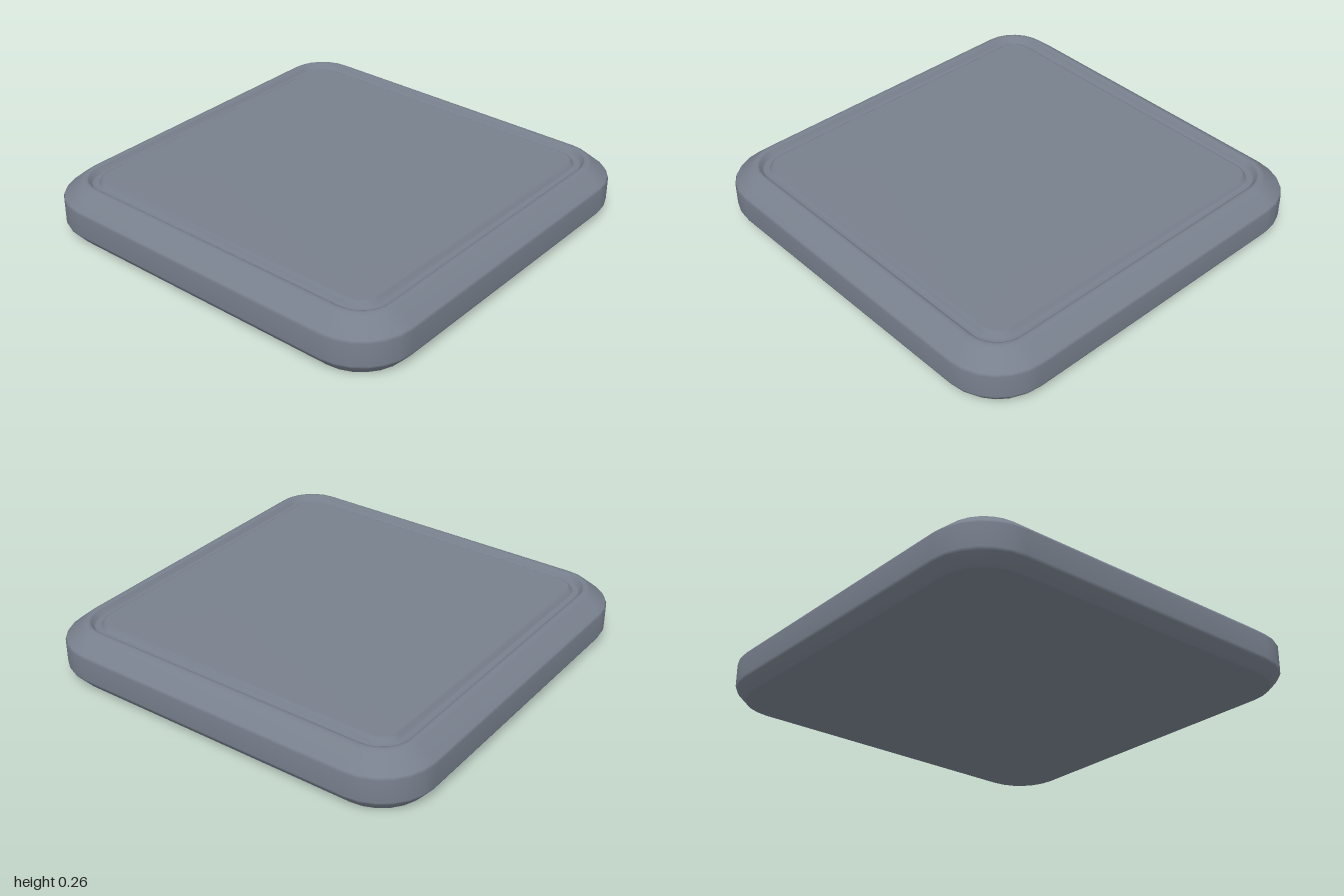
import * as THREE from 'three';

const CORE = 0.73;  // half-size of the square joining the corner arc centres
const STEPS = 6;    // segments per rounded corner

// Closed loop of a rounded square with the given half-width at height y
function ring(half, y) {
  const core = Math.min(CORE, half);
  const radius = half - core;
  const points = [];
  for (let corner = 0; corner < 4; corner++) {
    const mid = (corner + 0.5) * Math.PI / 2;
    const sx = Math.sign(Math.cos(mid)), sz = Math.sign(Math.sin(mid));
    for (let i = 0; i <= STEPS; i++) {
      const a = (corner + i / STEPS) * Math.PI / 2;
      points.push(sx * core + radius * Math.cos(a), y, sz * core + radius * Math.sin(a));
    }
  }
  return points;
}

// Skin the loops of a [half-width, y] profile running from bottom to top
function loftProfile(profile) {
  const n = 4 * (STEPS + 1);
  const positions = profile.flatMap(([half, y]) => ring(half, y));
  const index = [];
  for (let j = 0; j < profile.length - 1; j++) {
    for (let i = 0; i < n; i++) {
      const a = j * n + i, b = j * n + (i + 1) % n;
      index.push(a, a + n, b + n, a, b + n, b);
    }
  }
  const geometry = new THREE.BufferGeometry();
  geometry.setAttribute('position', new THREE.Float32BufferAttribute(positions, 3));
  geometry.setIndex(index);
  geometry.computeVertexNormals();
  return geometry;
}

export function createModel() {
  const group = new THREE.Group();
  group.name = 'tile';
  const material = new THREE.MeshStandardMaterial({ color: 0x78808d });

  const profile = [
    // flat underside and lower bevel
    [0, 0], [0.94, 0], [0.952, 0.005], [0.994, 0.053], [1, 0.067],
    // side wall and upper bevel
    [1, 0.178], [0.993, 0.19], [0.915, 0.255], [0.9, 0.262],
    // rim and groove
    [0.885, 0.262], [0.877, 0.258], [0.865, 0.238], [0.857, 0.234],
    [0.835, 0.234], [0.828, 0.238], [0.816, 0.258], [0.808, 0.262],
    // raised centre panel
    [0, 0.262],
  ];
  const slab = new THREE.Mesh(loftProfile(profile), material);
  slab.name = 'groovedSlab';
  group.add(slab);
  return group;
}
